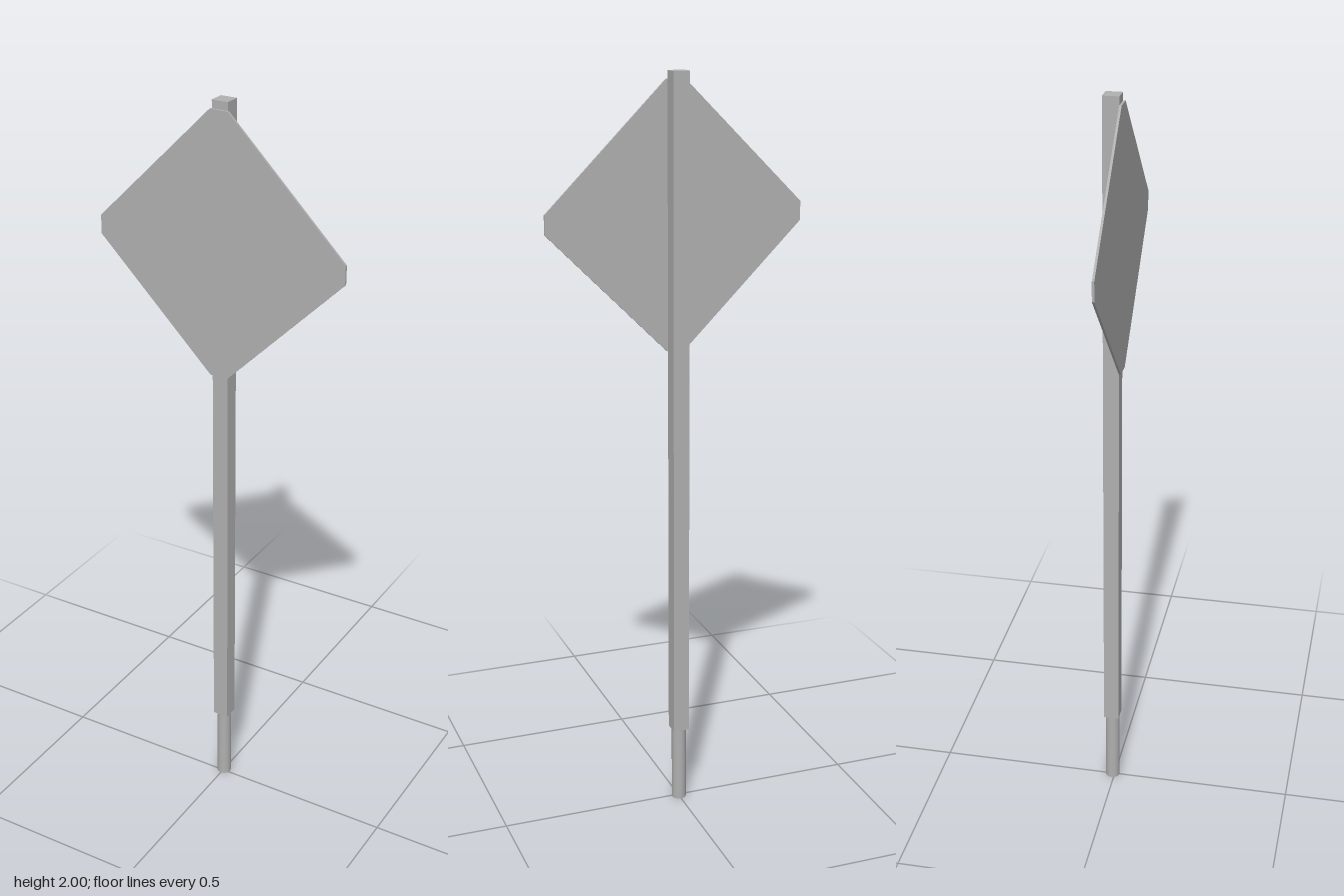
import * as THREE from 'three';

export function createModel() {
  const model = new THREE.Group();
  model.name = 'signpost';
  const grey = new THREE.MeshStandardMaterial({ color: 0xb0b0b0 });
  grey.name = 'grey metal';

  const add = (name, geometry, x, y, z) => {
    const mesh = new THREE.Mesh(geometry, grey);
    mesh.name = name;
    mesh.position.set(x, y, z);
    model.add(mesh);
  };

  const postZ = -0.006, footHeight = 0.212;

  // Square post
  add('post', new THREE.BoxGeometry(0.044, 2 - footHeight, 0.042), 0, (2 + footHeight) / 2, postZ);

  // Round foot under the post
  const foot = new THREE.CylinderGeometry(0.02, 0.02, footHeight, 12);
  add('foot', foot, 0, footHeight / 2, postZ);

  // Thin diamond plate with clipped corners, fixed to the front of the post
  const r = 0.346, c = 0.025;
  const outline = [[r, -c], [r, c], [c, r], [-c, r], [-r, c], [-r, -c], [-c, -r], [c, -r]];
  const shape = new THREE.Shape(outline.map(([x, y]) => new THREE.Vector2(x, y)));
  const plate = new THREE.ExtrudeGeometry(shape, { depth: 0.006, bevelEnabled: false });
  add('signPlate', plate, 0, 1.633, 0.015);

  return model;
}
